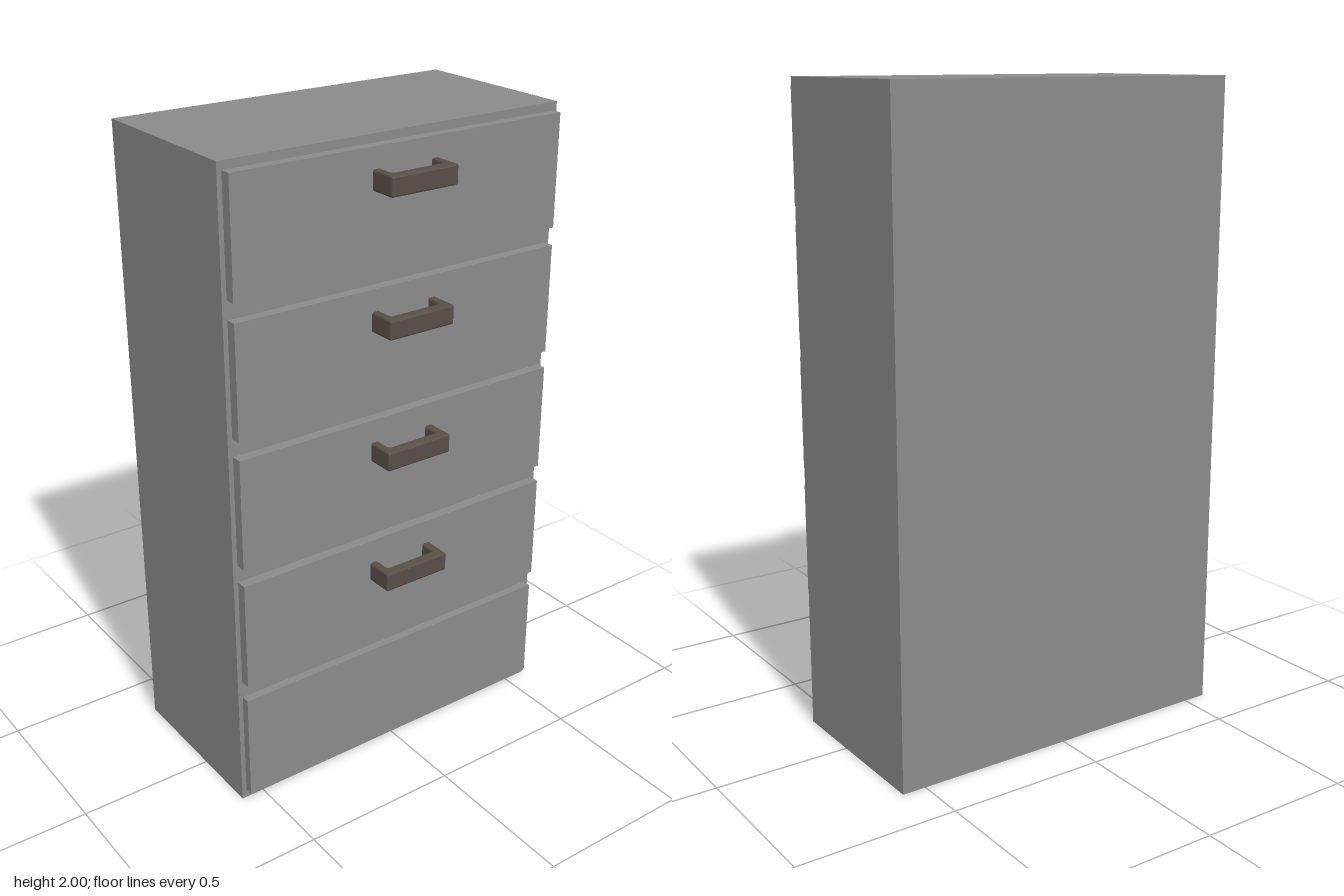
import * as THREE from 'three';

const grey = new THREE.MeshStandardMaterial({ color: 0x8a8a8a });
grey.name = 'cabinet grey';
const brown = new THREE.MeshStandardMaterial({ color: 0x594e48 });
brown.name = 'handle brown';

// Box given by its lower and upper limits on each axis
function box(name, [x0, x1], [y0, y1], [z0, z1]) {
  const mesh = new THREE.Mesh(new THREE.BoxGeometry(x1 - x0, y1 - y0, z1 - z0), grey);
  mesh.name = name;
  mesh.position.set((x0 + x1) / 2, (y0 + y1) / 2, (z0 + z1) / 2);
  return mesh;
}

// U-shaped pull with softened edges, centred on y = 0
function handleGeometry() {
  const root = 0.235, inner = 0.304, outer = 0.338, w = 0.113, wi = 0.087;
  const c = 0.006, height = 0.06, bevel = 0.006;
  const shape = new THREE.Shape();
  shape.moveTo(root, -w);
  shape.lineTo(outer - c, -w);
  shape.quadraticCurveTo(outer, -w, outer, -w + c);
  shape.lineTo(outer, w - c);
  shape.quadraticCurveTo(outer, w, outer - c, w);
  shape.lineTo(root, w);
  shape.lineTo(root, wi);
  shape.lineTo(inner - c, wi);
  shape.quadraticCurveTo(inner, wi, inner, wi - c);
  shape.lineTo(inner, -wi + c);
  shape.quadraticCurveTo(inner, -wi, inner - c, -wi);
  shape.lineTo(root, -wi);
  shape.closePath();
  const geometry = new THREE.ExtrudeGeometry(shape, {
    depth: height - 2 * bevel, curveSegments: 3,
    bevelThickness: bevel, bevelSize: bevel, bevelOffset: -bevel, bevelSegments: 2,
  });
  geometry.translate(0, 0, bevel - height / 2);
  geometry.rotateX(-Math.PI / 2);
  return geometry;
}

export function createModel() {
  const model = new THREE.Group();
  model.name = 'chestOfDrawers';
  model.add(box('carcass', [-0.34, 0.22], [0, 2], [-0.575, 0.575]));

  // Plain bottom panel, then four drawers with handles
  const pull = handleGeometry();
  for (let i = 0; i < 5; i++) {
    const y = 0.03 + i * 0.4;
    const drawer = new THREE.Group();
    drawer.name = i ? `drawer${i}` : 'bottomPanel';
    drawer.add(box('drawerFront', [0.21, i ? 0.253 : 0.247], [y, y + 0.345], [-0.56, 0.56]));
    if (i) {
      const handle = new THREE.Mesh(pull, brown);
      handle.name = 'handle';
      handle.position.y = 0.668 + (i - 1) * 0.405;
      drawer.add(handle);
    }
    model.add(drawer);
  }
  return model;
}
